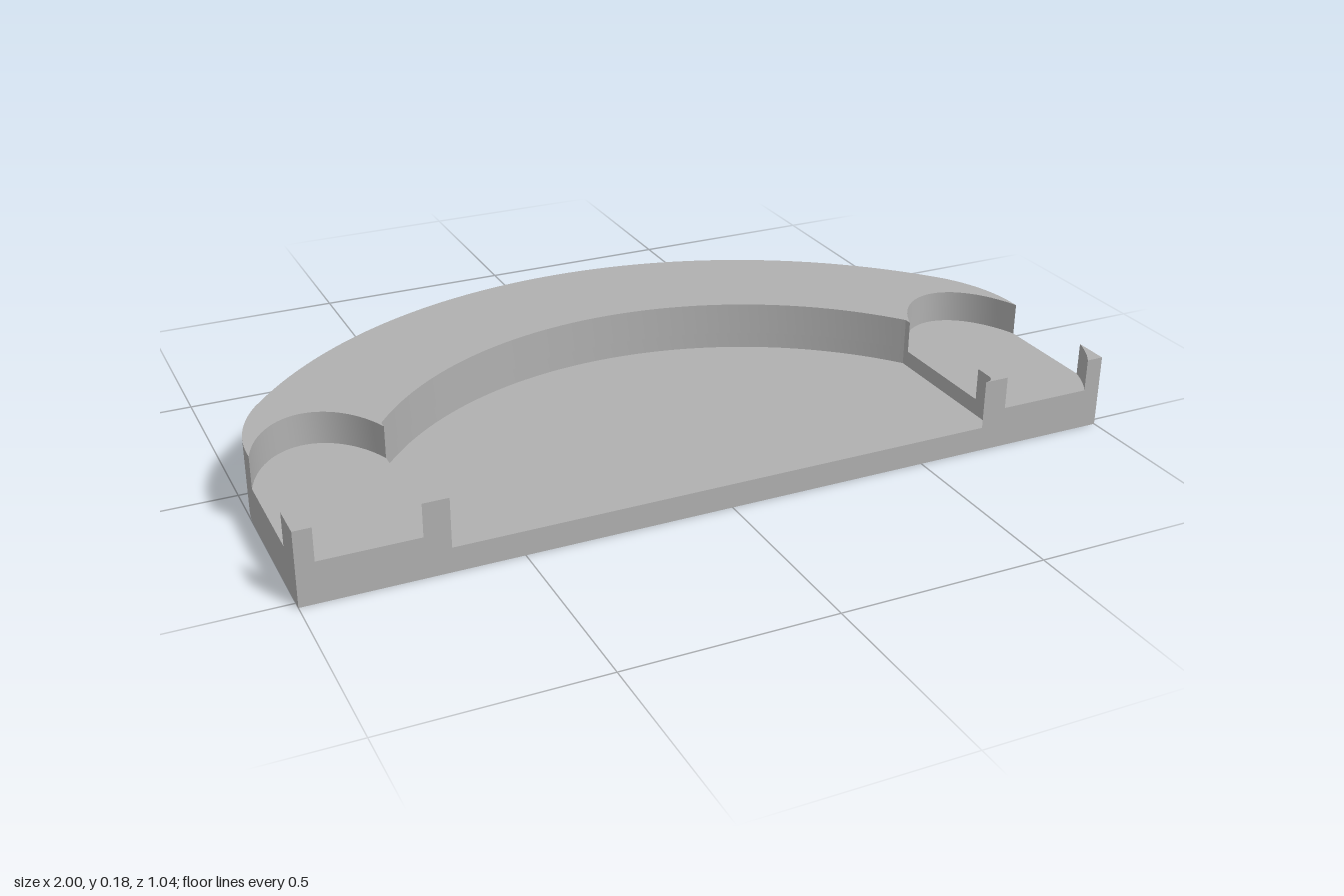
import * as THREE from 'three';
import { toCreasedNormals } from 'three/addons/utils/BufferGeometryUtils.js';

// Elliptical arc in plan, as [x, z] points
function arc(cx, cz, rx, rz, a0, a1, n) {
  return Array.from({ length: n + 1 }, (_, i) => {
    const a = a0 + ((a1 - a0) * i) / n;
    return [cx + rx * Math.cos(a), cz + rz * Math.sin(a)];
  });
}

const flip = (pts) => pts.map(([x, z]) => [-x, z]);

// Half path ending on the centre line, continued by its mirror image
const symmetric = (half) => [...half, ...flip(half.slice(0, -1)).reverse()];

export function createModel() {
  const group = new THREE.Group();
  const grey = new THREE.MeshStandardMaterial({ color: 0xb0b0b0 });

  // Extrudes a plan outline between two heights
  function slab(name, pts, y0, y1) {
    const shape = new THREE.Shape(pts.map(([x, z]) => new THREE.Vector2(x, -z)));
    const geo = new THREE.ExtrudeGeometry(shape, { depth: y1 - y0, bevelEnabled: false });
    geo.rotateX(-Math.PI / 2).translate(0, y0, 0);
    const mesh = new THREE.Mesh(toCreasedNormals(geo, 0.45), grey);
    mesh.name = name;
    group.add(mesh);
  }

  const FLOOR = 0.06, LEDGE = 0.1, TOP = 0.18, FRONT = 0.52;
  const back = -Math.PI / 2;

  // Outer edge: rounded shoulder blending into the large back arc
  const join = Math.atan2(-0.51, 0.63);
  const outerCurve = [
    ...arc(0.63, 0.15, 0.37, 0.37, 0, join, 14).slice(0, -1),
    ...arc(0, 0.66, 1.18, 1.18, join, back, 28),
  ];
  // Inner edge: concentric arc, straight side and small rounded front lip
  const innerCurve = arc(0, 0.66, 0.87, 0.87, Math.atan2(-0.53, 0.69), back, 28);
  const lip = arc(0.665, 0.495, 0.025, 0.025, Math.PI / 2, 0, 6);

  // Oval side pocket, cut off by the outer side, the recess and the front
  const pocket = (a0, a1, n) => arc(0.842, 0.3, 0.178, 0.29, a0, a1, n);
  const outA = Math.acos(0.158 / 0.178);
  const inA = Math.PI - Math.acos(0.152 / 0.178);
  const frontA = Math.asin(0.22 / 0.29);

  // Base plate and the ledge around the central recess
  const outer = symmetric([[1, FRONT], ...outerCurve]);
  const recess = symmetric([...lip.slice().reverse(), ...innerCurve].sort(() => 0).map((p) => p));
  slab('basePlate', outer, 0, FLOOR);
  const recessEdge = symmetric([...lip, ...innerCurve]);
  slab('pocketLedge', [...outer, ...recessEdge.reverse()], FLOOR, LEDGE);

  // Raised curved rim with the pocket ends scooped out
  const rimOuter = symmetric([pocket(-outA, -inA, 1)[0], ...outerCurve]);
  const rimInner = symmetric([...pocket(-outA, -inA, 28).slice(1), ...innerCurve]);
  slab('curvedRim', [...rimOuter, ...rimInner.reverse()], LEDGE, TOP);

  // Corner posts at the front of each pocket
  const outerPost = [[1, FRONT], ...pocket(outA, frontA, 6)];
  const innerPost = [...pocket(Math.PI - frontA, inA, 6), ...lip.slice().reverse()];
  for (const [side, place] of [['left', (p) => p], ['right', flip]]) {
    slab(side + 'OuterPost', place(outerPost), LEDGE, TOP);
    slab(side + 'InnerPost', place(innerPost), LEDGE, TOP);
  }
  return group;
}
